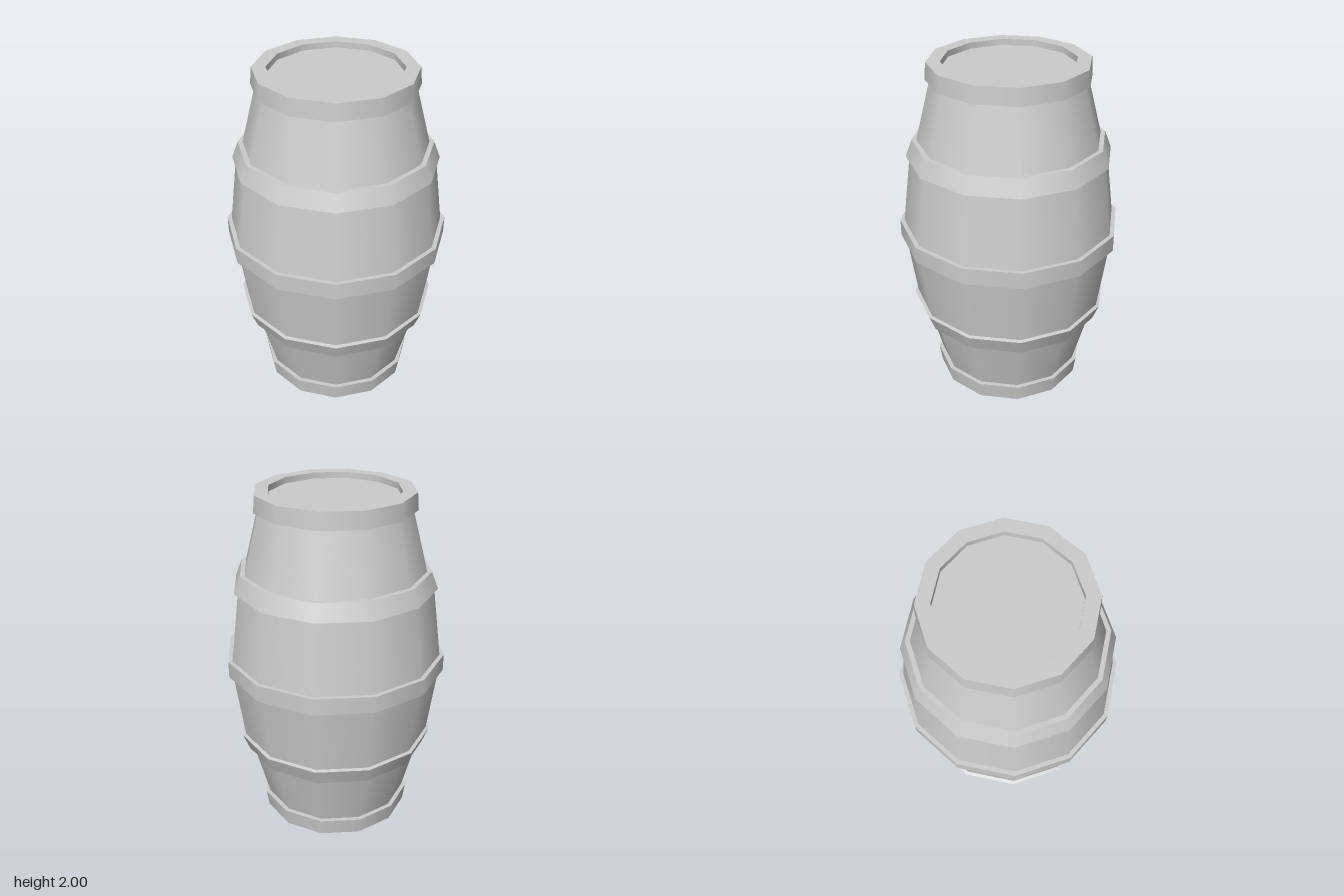
import * as THREE from 'three';
import { mergeGeometries } from 'three/addons/utils/BufferGeometryUtils.js';

const SIDES = 12;
const material = new THREE.MeshStandardMaterial({ color: 0xcccccc });

// Turns a profile of [radius, y] points (bottom to top on the outside), smooth around
// the axis and sharp at each profile point.
function turned(name, profile) {
  const rings = [];
  for (let i = 0; i < profile.length - 1; i++) {
    const pair = [profile[i], profile[i + 1]].map(([r, y]) => new THREE.Vector2(r, y));
    rings.push(new THREE.LatheGeometry(pair, SIDES));
  }
  const mesh = new THREE.Mesh(mergeGeometries(rings), material);
  mesh.name = name;
  return mesh;
}

export function createModel() {
  const barrel = new THREE.Group();
  barrel.name = 'barrel';

  // Bulging staves, one straight run between each pair of hoops
  barrel.add(turned('staves', [
    [0.43, 0.1], [0.52, 0.45], [0.565, 0.553], [0.618, 0.955],
    [0.618, 1.055], [0.565, 1.458], [0.52, 1.56], [0.43, 1.905],
  ]));

  // Hoops with their ledges against the staves
  barrel.add(turned('lowerHoop', [[0.52, 0.45], [0.547, 0.45], [0.585, 0.549], [0.565, 0.555]]));
  barrel.add(turned('middleHoop', [[0.618, 0.957], [0.643, 0.957], [0.643, 1.055], [0.618, 1.055]]));
  barrel.add(turned('upperHoop', [[0.565, 1.457], [0.585, 1.463], [0.547, 1.56], [0.52, 1.56]]));

  // Bottom hoop closed by a flat base
  barrel.add(turned('base', [[0, 0], [0.442, 0], [0.456, 0.102], [0.43, 0.102]]));

  // Top hoop with a flat rim and a shallow recessed lid
  barrel.add(turned('topRim', [[0.43, 1.905], [0.456, 1.905], [0.448, 2], [0.37, 2], [0.37, 1.965]]));
  barrel.add(turned('lid', [[0.37, 1.965], [0, 1.965]]));

  return barrel;
}
